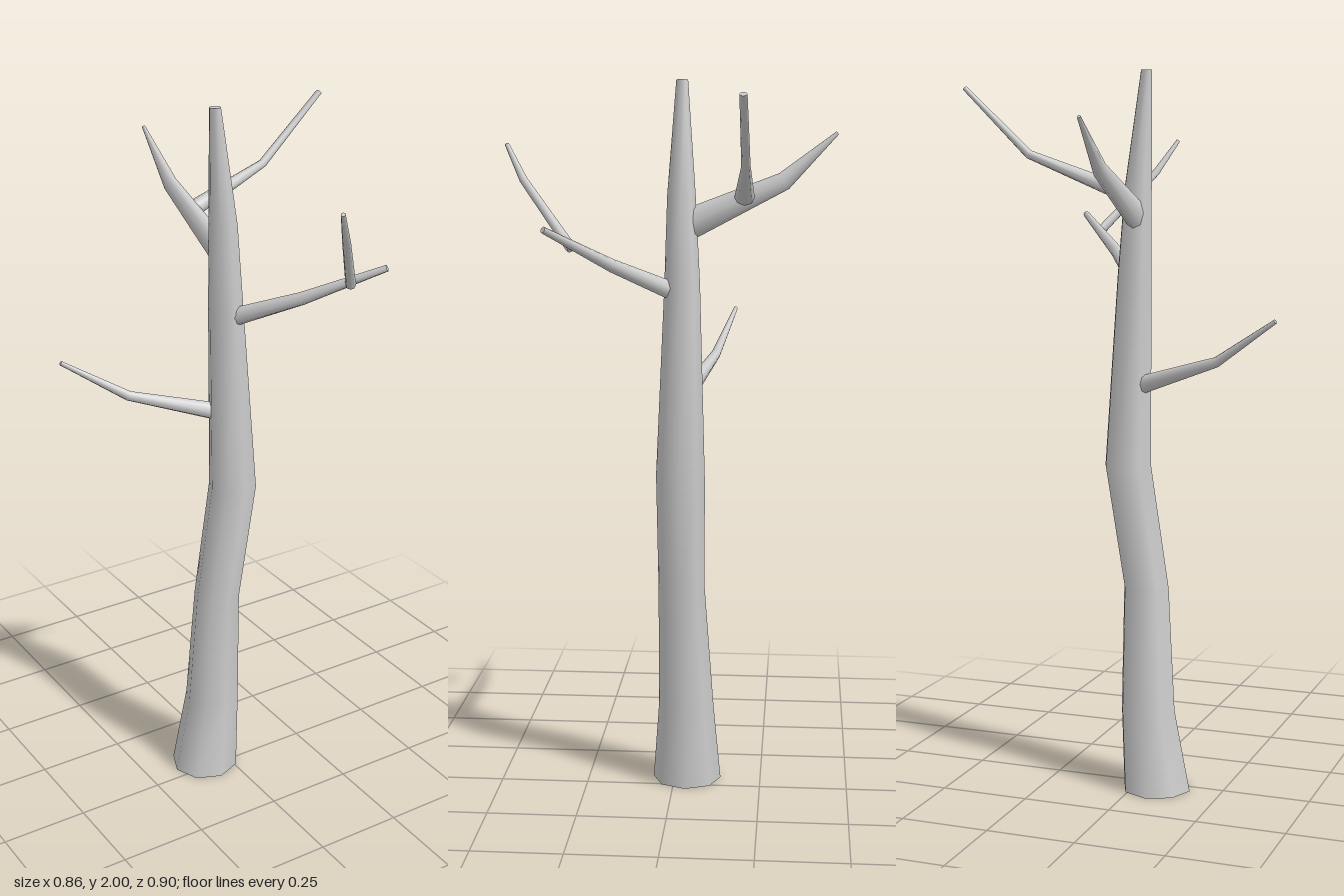
import * as THREE from 'three';

const bark = new THREE.MeshStandardMaterial({ color: 0xcccccc });

// Tapered limb through rings [x, y, z, sideRadius, uprightRadius?], capped at both ends
function limb(name, rings, sides, flat = false) {
  const up = new THREE.Vector3(0, 1, 0);
  const centres = rings.map(r => new THREE.Vector3(r[0], r[1], r[2]));
  const pos = [], idx = [];
  const loops = rings.map((ring, i) => {
    // bisecting direction at each ring; flat rings stay level
    const t = up.clone();
    if (!flat) {
      t.set(0, 0, 0);
      if (i > 0) t.add(centres[i].clone().sub(centres[i - 1]).normalize());
      if (i < rings.length - 1) t.add(centres[i + 1].clone().sub(centres[i]).normalize());
      t.normalize();
    }
    const u = flat ? new THREE.Vector3(1, 0, 0) : up.clone().cross(t).normalize();
    const v = t.clone().cross(u);
    return Array.from({ length: sides }, (_, j) => {
      const a = (j / sides) * Math.PI * 2;
      return centres[i].clone()
        .addScaledVector(u, Math.cos(a) * ring[3])
        .addScaledVector(v, Math.sin(a) * (ring[4] ?? ring[3]));
    });
  });

  // smooth side wall
  loops.flat().forEach(p => pos.push(p.x, p.y, p.z));
  for (let i = 0; i < rings.length - 1; i++) {
    for (let j = 0; j < sides; j++) {
      const k = (j + 1) % sides, a = i * sides, b = a + sides;
      idx.push(a + j, a + k, b + k, a + j, b + k, b + j);
    }
  }
  // end caps with their own vertices, so the rims stay sharp
  [[loops[0], true], [loops[loops.length - 1], false]].forEach(([loop, isBase]) => {
    const s = pos.length / 3;
    loop.forEach(p => pos.push(p.x, p.y, p.z));
    for (let j = 1; j < sides - 1; j++) {
      idx.push(s, ...(isBase ? [s + j + 1, s + j] : [s + j, s + j + 1]));
    }
  });

  const geo = new THREE.BufferGeometry();
  geo.setAttribute('position', new THREE.Float32BufferAttribute(pos, 3));
  geo.setIndex(idx);
  geo.computeVertexNormals();
  const mesh = new THREE.Mesh(geo, bark);
  mesh.name = name;
  return mesh;
}

export function createModel() {
  const tree = new THREE.Group();
  tree.name = 'bareTree';

  // crooked trunk with a flared foot
  tree.add(limb('trunk', [
    [-0.064, 0, -0.036, 0.098],
    [-0.037, 0.23, -0.035, 0.079],
    [-0.027, 0.58, -0.022, 0.066],
    [0.027, 0.92, -0.022, 0.068],
    [0.007, 1.45, -0.025, 0.049],
    [-0.003, 1.69, -0.022, 0.039],
    [-0.027, 2, -0.022, 0.016],
  ], 8, true));

  // low branch on the right
  tree.add(limb('lowerBranch', [
    [-0.02, 1.15, -0.042, 0.022, 0.025],
    [-0.255, 1.226, -0.105, 0.014],
    [-0.43, 1.342, -0.155, 0.006],
  ], 8));

  // front branch and its twig
  tree.add(limb('frontBranch', [
    [0.02, 1.436, 0.008, 0.022, 0.025],
    [0.13, 1.51, 0.155, 0.016, 0.018],
    [0.285, 1.612, 0.315, 0.009],
  ], 8));
  tree.add(limb('frontTwig', [
    [0.218, 1.56, 0.25, 0.014],
    [0.093, 1.735, 0.395, 0.011],
    [0.042, 1.828, 0.447, 0.006],
  ], 8));

  // thick back branch and its side twig
  tree.add(limb('backBranch', [
    [-0.003, 1.61, -0.035, 0.027, 0.043],
    [0, 1.73, -0.3, 0.018, 0.025],
    [0, 1.858, -0.442, 0.005],
  ], 8));
  tree.add(limb('backTwig', [
    [0.01, 1.685, -0.194, 0.028, 0.021],
    [0.24, 1.774, -0.205, 0.012],
    [0.425, 1.95, -0.204, 0.01, 0.007],
  ], 8));

  return tree;
}
